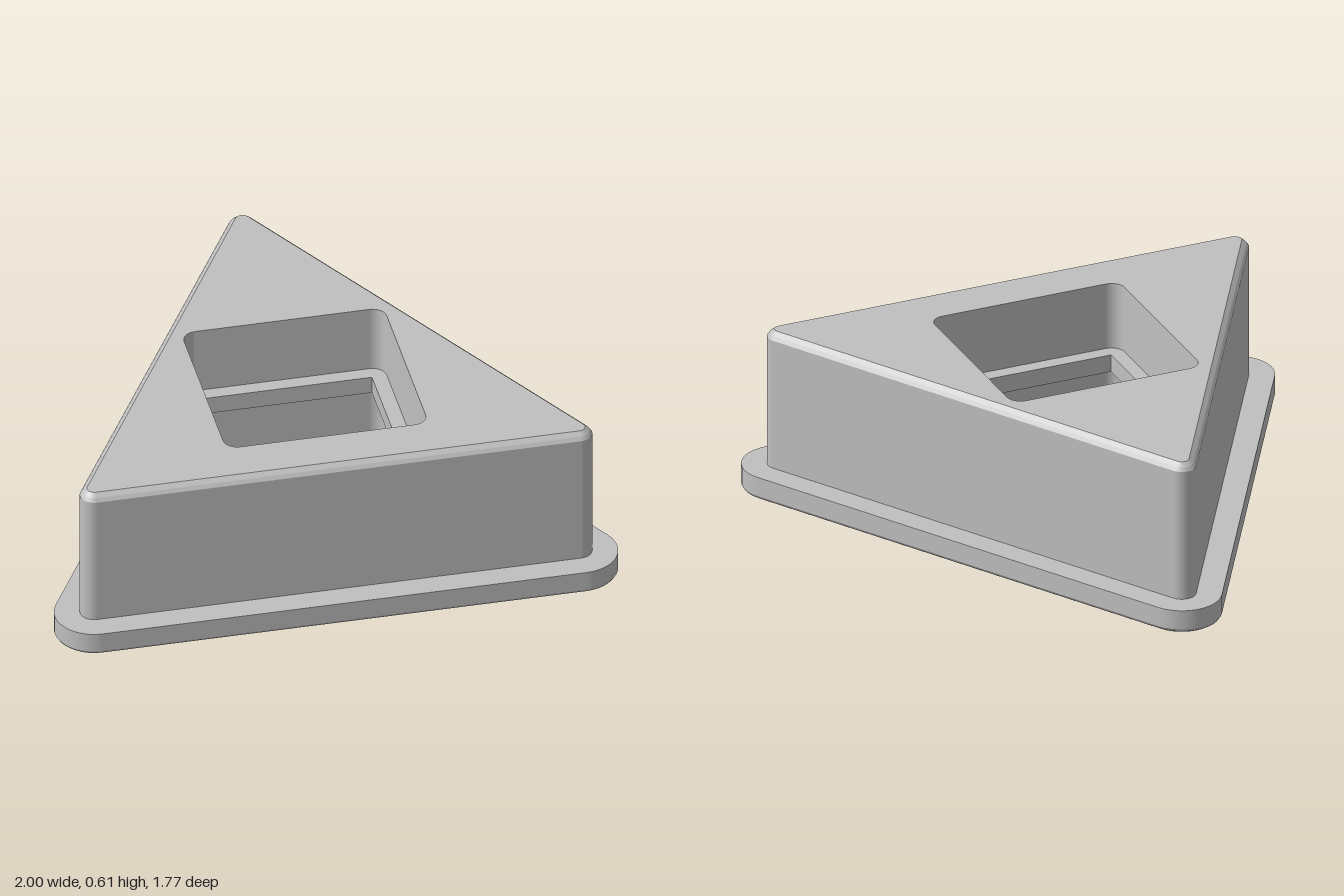
import * as THREE from 'three';

// Rounded regular polygon: corner centres at distance R, corner radius r.
// Gives points with outward directions (nx, nz); sides = 1 makes a circle.
function outline({ sides, R, phase, segs }, r) {
  const pts = [];
  for (let i = 0; i < sides; i++) {
    const mid = phase + (i * 2 * Math.PI) / sides;
    for (let j = 0; j <= segs; j++) {
      const a = mid + (j / segs - 0.5) * ((2 * Math.PI) / sides);
      const nx = Math.cos(a), nz = Math.sin(a);
      pts.push({ x: R * Math.cos(mid) + r * nx, z: R * Math.sin(mid) + r * nz, nx, nz });
    }
  }
  return pts;
}

// Wall following a profile of [radius, y]; rising profiles face out, falling ones face in
function wall(kind, profile) {
  const pos = [], nor = [], idx = [];
  for (let k = 0; k < profile.length - 1; k++) {
    const [r0, y0] = profile[k], [r1, y1] = profile[k + 1];
    const len = Math.hypot(r1 - r0, y1 - y0);
    const out = (y1 - y0) / len, up = (r0 - r1) / len;
    const low = outline(kind, r0), high = outline(kind, r1);
    const n = low.length, base = pos.length / 3;
    for (let i = 0; i < n; i++) {
      const p = low[i], q = high[i];
      pos.push(p.x, y0, p.z, q.x, y1, q.z);
      for (let m = 0; m < 2; m++) nor.push(p.nx * out, up, p.nz * out);
      const a = base + 2 * i, b = base + 2 * ((i + 1) % n);
      idx.push(a, a + 1, b, b, a + 1, b + 1);
    }
  }
  const g = new THREE.BufferGeometry();
  g.setAttribute('position', new THREE.Float32BufferAttribute(pos, 3));
  g.setAttribute('normal', new THREE.Float32BufferAttribute(nor, 3));
  g.setIndex(idx);
  return g;
}

// Flat face at height y between an outer outline and an inner opening
function face(outer, inner, y, facesUp) {
  const s = facesUp ? -1 : 1;
  const to2D = (pts) => pts.map((p) => new THREE.Vector2(p.x, s * p.z));
  const shape = new THREE.Shape(to2D(outer));
  shape.holes.push(new THREE.Path(to2D(inner)));
  return new THREE.ShapeGeometry(shape).rotateX((s * Math.PI) / 2).translate(0, y, 0);
}

export function createModel() {
  const group = new THREE.Group();
  group.name = 'triangularHolder';
  const grey = new THREE.MeshStandardMaterial({ color: 0xc0c0c0 });
  grey.name = 'grey';

  const triangle = { sides: 3, R: 0.993, phase: -Math.PI / 2, segs: 12 };
  const pocket = { sides: 4, R: 0.31 * Math.SQRT2, phase: Math.PI / 4, segs: 8 };
  const opening = { sides: 4, R: 0.307 * Math.SQRT2, phase: Math.PI / 4, segs: 1 };
  const circle = { sides: 1, R: 0, phase: 0, segs: 40 };

  const pocketLoop = outline(pocket, 0.05);
  const openingLoop = outline(opening, 0);
  const holeLoop = outline(circle, 0.11);
  const height = 0.61, flangeTop = 0.09, ledge = 0.36, plateBottom = 0.295, floor = 0.06;

  const add = (name, geometry) => {
    const mesh = new THREE.Mesh(geometry, grey);
    mesh.name = name;
    mesh.position.z = 0.248;
    group.add(mesh);
  };

  // Flange with a small bevel below
  add('flangeSide', wall(triangle, [[0.122, 0], [0.133, 0.007], [0.14, 0.018], [0.14, flangeTop]]));
  add('flangeTop', face(outline(triangle, 0.14), outline(triangle, 0.05), flangeTop, true));
  add('underside', face(outline(triangle, 0.122), holeLoop, 0, false));

  // Body with a bevelled top edge
  add('bodySide', wall(triangle, [[0.05, flangeTop], [0.05, 0.583], [0.041, 0.596], [0.025, height]]));
  add('bodyTop', face(outline(triangle, 0.025), pocketLoop, height, true));

  // Upper pocket down to the square plate
  add('pocketWall', wall(pocket, [[0.05, height], [0.05, ledge]]));
  add('plateTop', face(pocketLoop, openingLoop, ledge, true));
  add('plateOpening', wall(opening, [[0, ledge], [0, plateBottom]]));
  add('plateUnderside', face(pocketLoop, openingLoop, plateBottom, false));

  // Lower cavity and the round hole through its floor
  add('cavityWall', wall(pocket, [[0.05, plateBottom], [0.05, floor]]));
  add('cavityFloor', face(pocketLoop, holeLoop, floor, true));
  add('holeWall', wall(circle, [[0.11, floor], [0.11, 0]]));

  return group;
}
